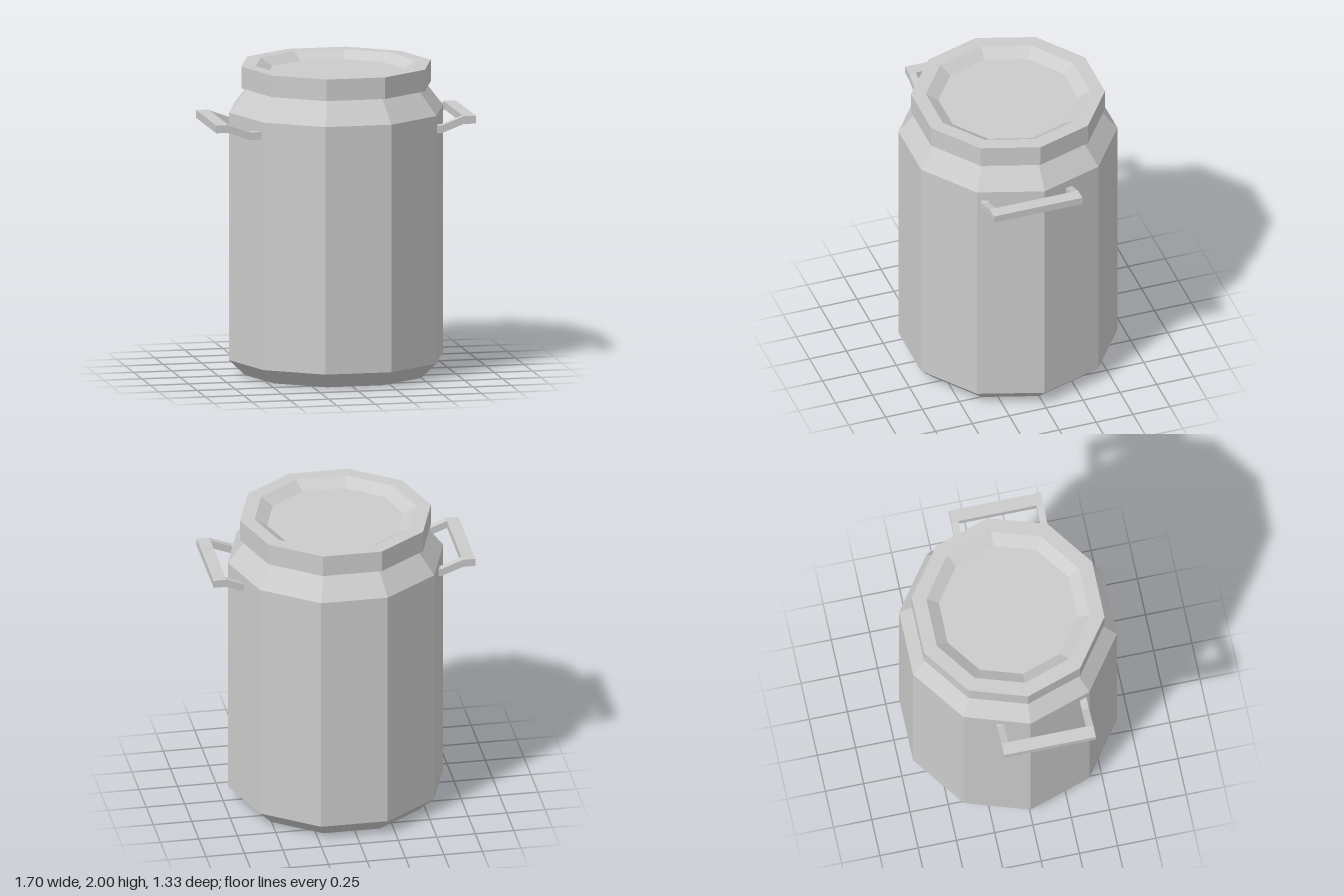
import * as THREE from 'three';

const SIDES = 10;
const AXIS_X = 0.02; // the can sits slightly off the handles' midline

const material = new THREE.MeshStandardMaterial({ color: 0xcccccc, flatShading: true });

// Ten-sided turned part from [radius, height] pairs, with corners on the x axis
function turned(name, profile) {
  const points = profile.map(([r, y]) => new THREE.Vector2(r, y));
  const mesh = new THREE.Mesh(new THREE.LatheGeometry(points, SIDES, Math.PI / 2), material);
  mesh.name = name;
  mesh.position.x = AXIS_X;
  return mesh;
}

// Cranked strip in the xy plane, extruded along z
function strip(name, outline, side, z0, z1) {
  const shape = new THREE.Shape(outline.map(([x, y]) => new THREE.Vector2(side * x, y)));
  const geometry = new THREE.ExtrudeGeometry(shape, { depth: z1 - z0, bevelEnabled: false });
  const mesh = new THREE.Mesh(geometry, material);
  mesh.name = name;
  mesh.position.z = z0;
  return mesh;
}

function handle(name, side) {
  const group = new THREE.Group();
  group.name = name;
  // Arms rise outward from the body to the grip
  const arm = [
    [0.55, 1.59], [0.63, 1.59], [0.77, 1.643],
    [0.77, 1.693], [0.63, 1.64], [0.55, 1.64],
  ];
  const grip = [[0.768, 1.643], [0.85, 1.643], [0.85, 1.693], [0.768, 1.693]];
  group.add(
    strip('frontArm', arm, side, 0.345, 0.39),
    strip('backArm', arm, side, -0.21, -0.165),
    strip('grip', grip, side, -0.21, 0.39),
  );
  return group;
}

export function createModel() {
  const model = new THREE.Group();
  model.name = 'can';

  // Body: closed base, bevelled foot, straight wall and sloping shoulder
  model.add(turned('body', [[0, 0], [0.595, 0], [0.7, 0.1], [0.7, 1.705], [0.58, 1.86]]));

  // Lid: overhanging underside, rim and sunken top
  model.add(turned('lid', [
    [0, 1.86], [0.62, 1.86], [0.62, 2], [0.525, 2], [0.445, 1.95], [0, 1.95],
  ]));

  model.add(handle('leftHandle', 1), handle('rightHandle', -1));
  return model;
}
